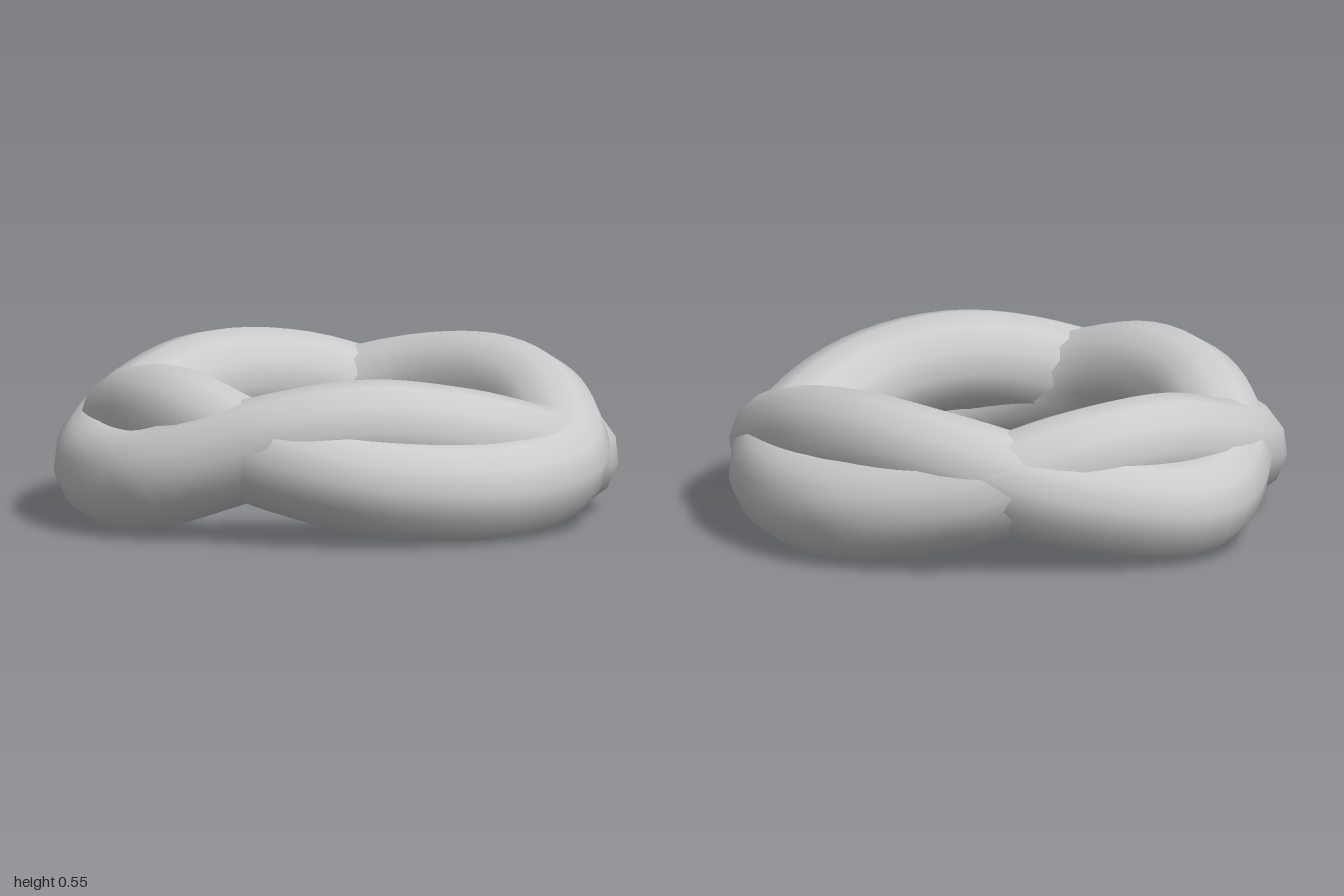
import * as THREE from 'three';

// Radius and height of each strand's centre line, every 30 degrees counter-clockwise from +x
const strands = {
  sidewaysStrand: {
    radii: [0.828, 0.805, 0.72, 0.69, 0.71, 0.75, 0.83, 0.735, 0.665, 0.65, 0.695, 0.76],
    heights: [0.168, 0.2, 0.32, 0.37, 0.335, 0.235, 0.17, 0.23, 0.345, 0.372, 0.285, 0.2],
  },
  lengthwiseStrand: {
    radii: [0.695, 0.75, 0.805, 0.828, 0.75, 0.695, 0.685, 0.725, 0.785, 0.81, 0.695, 0.655],
    heights: [0.325, 0.225, 0.175, 0.17, 0.235, 0.345, 0.365, 0.27, 0.18, 0.185, 0.315, 0.372],
  },
};

// Closed smooth path through the ring's stations
function ringPath({ radii, heights }) {
  const points = radii.map((r, i) => {
    const a = (i / radii.length) * Math.PI * 2;
    return new THREE.Vector3(r * Math.cos(a), heights[i], -r * Math.sin(a));
  });
  return new THREE.CatmullRomCurve3(points, true, 'catmullrom', 0.5);
}

export function createModel() {
  const group = new THREE.Group();
  group.name = 'interlacedRings';
  const material = new THREE.MeshStandardMaterial({ color: 0xcccccc });

  // Two wavy tubes weaving over each other
  for (const [name, stations] of Object.entries(strands)) {
    const tube = new THREE.TubeGeometry(ringPath(stations), 72, 0.171, 12, true);
    const mesh = new THREE.Mesh(tube, material);
    mesh.name = name;
    group.add(mesh);
  }
  return group;
}
